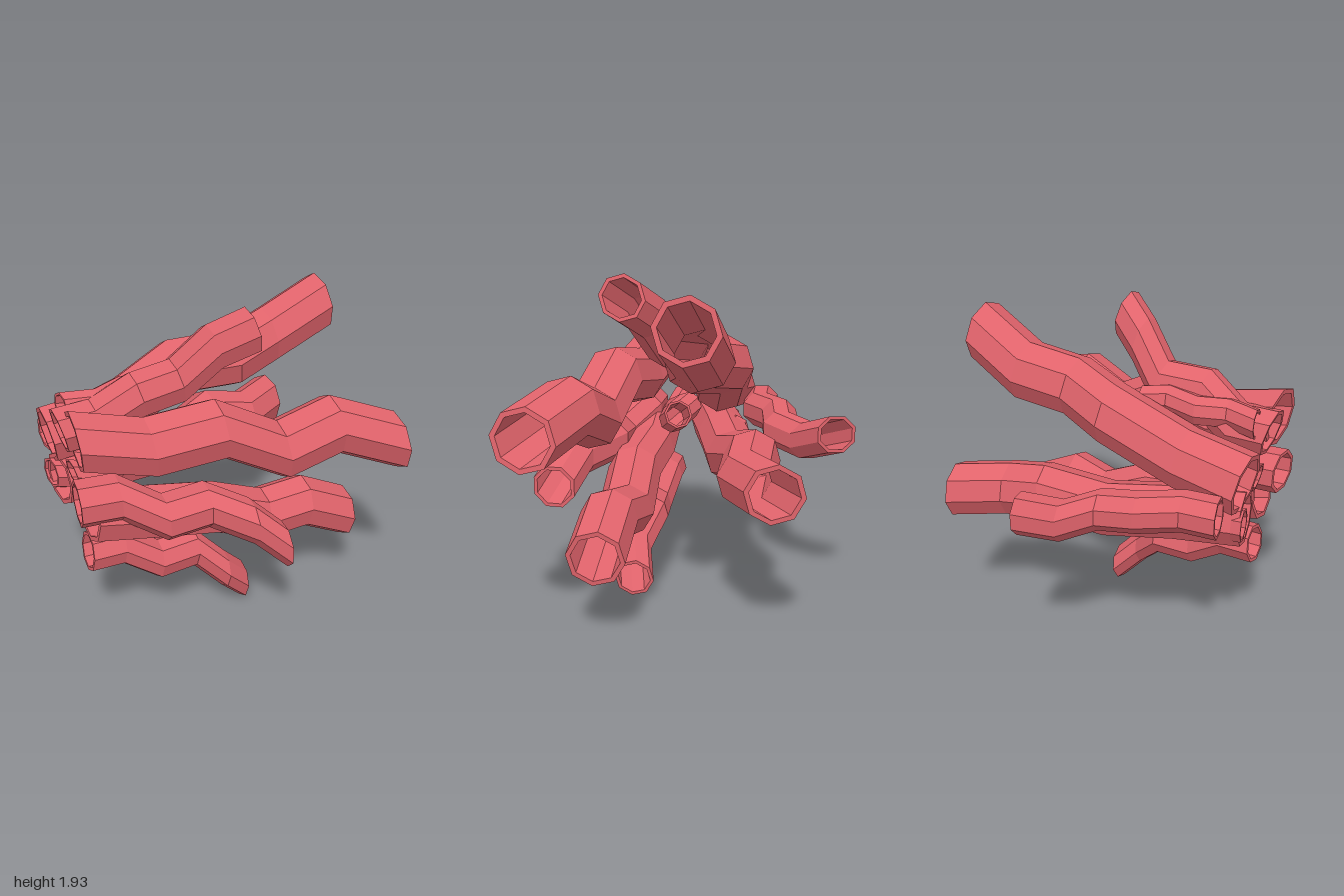
import * as THREE from 'three';

const SIDES = 8;
const material = new THREE.MeshStandardMaterial({ color: 0xe0636b, flatShading: true });

// Hollow tube with a wall: all rings stay parallel, sheared by tilt (dz per x, dz per y);
// turn rotates the octagon by a fraction of one side
function hollowTube(name, radius, [tiltX, tiltY], path, turn = 0.15) {
  // Out along the outer skin, back along the inner skin
  const rings = path.map((p) => [p, radius]);
  rings.push(...path.slice().reverse().map((p) => [p, radius * 0.83]));
  const positions = [];
  const indices = [];
  for (const [[x, y, z], r] of rings) {
    for (let j = 0; j < SIDES; j++) {
      const a = ((j + turn) / SIDES) * Math.PI * 2;
      const dx = r * Math.cos(a);
      const dy = r * Math.sin(a);
      positions.push(x + dx, y + dy, z + tiltX * dx + tiltY * dy);
    }
  }
  for (let i = 0; i < rings.length; i++) {
    const n = ((i + 1) % rings.length) * SIDES;
    for (let j = 0; j < SIDES; j++) {
      const k = (j + 1) % SIDES;
      const a = i * SIDES + j, b = i * SIDES + k, c = n + j, d = n + k;
      indices.push(a, c, b, b, c, d);
    }
  }
  const geometry = new THREE.BufferGeometry();
  geometry.setAttribute('position', new THREE.Float32BufferAttribute(positions, 3));
  geometry.setIndex(indices);
  geometry.computeVertexNormals();
  const mesh = new THREE.Mesh(geometry, material);
  mesh.name = name;
  return mesh;
}

export function createModel() {
  const group = new THREE.Group();
  group.name = 'tubeCluster';
  group.add(
    // Large tubes
    hollowTube('upperLeftTube', 0.175, [0.28, 0.11], [
      [0.11, 1.34, 0.87], [0.24, 1.25, 0.50], [0.38, 1.31, 0.14],
      [0.50, 1.13, -0.20], [0.61, 1.25, -0.48], [0.82, 1.15, -0.78]]),
    hollowTube('topTube', 0.174, [0.2, 0.18], [
      [-0.39, 1.14, 0.79], [-0.29, 1.20, 0.43], [-0.27, 1.40, 0.0],
      [-0.08, 1.46, -0.28], [-0.10, 1.53, -0.57], [0.0, 1.71, -0.89]]),
    hollowTube('lowerRightTube', 0.163, [0.03, 0], [
      [-0.29, 0.89, 0.78], [-0.31, 0.88, 0.40], [-0.33, 0.84, 0.0],
      [-0.40, 0.93, -0.35], [-0.34, 0.88, -0.60], [-0.45, 0.88, -0.89]]),
    hollowTube('lowerLeftTube', 0.16, [0.17, -0.1], [
      [0.10, 0.86, 0.80], [0.16, 0.78, 0.45], [0.26, 0.73, 0.10],
      [0.31, 0.59, -0.23], [0.40, 0.64, -0.47], [0.47, 0.50, -0.76]]),
    // Medium tubes
    hollowTube('raisedTube', 0.134, [0.2, 0.25], [
      [-0.08, 1.32, 0.86], [-0.05, 1.33, 0.65], [0.05, 1.47, 0.45],
      [0.06, 1.49, 0.20], [0.18, 1.69, 0.04], [0.32, 1.80, -0.11]]),
    hollowTube('sideTube', 0.132, [0.3, 0.03], [
      [0.15, 0.99, 0.90], [0.20, 0.98, 0.68], [0.37, 0.87, 0.49],
      [0.42, 0.89, 0.25], [0.63, 0.83, 0.09], [0.74, 0.68, -0.06]], 0.5),
    hollowTube('bottomTube', 0.118, [0.2, -0.1], [
      [0.02, 0.56, 0.79], [0.06, 0.56, 0.60], [0.14, 0.42, 0.40],
      [0.17, 0.43, 0.17], [0.28, 0.27, 0.02], [0.27, 0.12, -0.13]]),
    hollowTube('rightSideTube', 0.115, [0, 0], [
      [-0.60, 1.03, 0.70], [-0.56, 1.02, 0.50], [-0.65, 1.02, 0.28],
      [-0.63, 0.99, 0.06], [-0.76, 0.96, -0.11], [-0.89, 1.04, -0.29]], 0.5),
    // Small tubes in the middle of the bundle
    hollowTube('upperSmallTube', 0.085, [0.05, 0], [
      [-0.18, 1.40, 0.79], [-0.09, 1.41, 0.62], [-0.13, 1.42, 0.45],
      [-0.06, 1.44, 0.27], [-0.12, 1.44, 0.13]]),
    hollowTube('centreSmallTube', 0.085, [0.1, 0.2], [
      [-0.08, 1.04, 0.80], [-0.02, 0.99, 0.62], [-0.09, 1.06, 0.45],
      [0.02, 1.01, 0.28], [-0.01, 1.07, 0.14]]),
    hollowTube('innerSmallTube', 0.095, [0, 0], [
      [-0.38, 0.89, 0.79], [-0.30, 0.85, 0.55], [-0.38, 0.92, 0.35], [-0.32, 0.84, 0.13]]),
  );
  return group;
}
